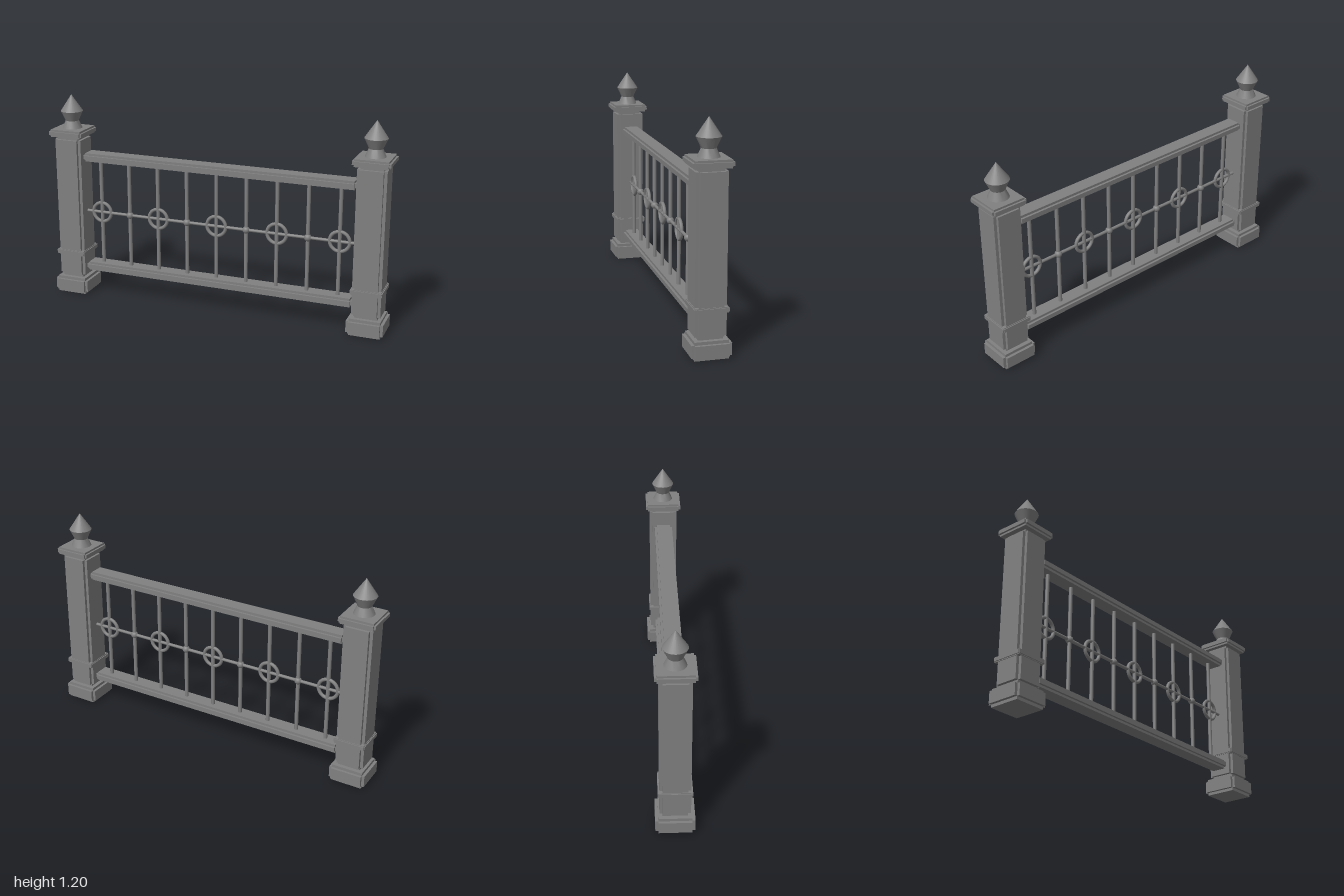
import * as THREE from 'three';
import { toCreasedNormals } from 'three/addons/utils/BufferGeometryUtils.js';

export function createModel() {
  const fence = new THREE.Group();
  fence.name = 'fencePanel';
  const iron = new THREE.MeshStandardMaterial({ color: 0x808080 });
  iron.name = 'grey iron';

  function add(parent, name, geometry, x = 0, y = 0, z = 0) {
    const mesh = new THREE.Mesh(geometry, iron);
    mesh.name = name;
    mesh.position.set(x, y, z);
    parent.add(mesh);
    return mesh;
  }

  // Block with stepped, notched edges: three crossed boxes, each full size along one face pair
  function steppedBlock(parent, name, w, y0, y1, d, step) {
    const block = new THREE.Group();
    block.name = name;
    block.position.y = (y0 + y1) / 2;
    const h = y1 - y0, s = step * 2;
    add(block, name + 'Sides', new THREE.BoxGeometry(w, h - s, d - s));
    add(block, name + 'Ends', new THREE.BoxGeometry(w - s, h, d - s));
    add(block, name + 'Faces', new THREE.BoxGeometry(w - s, h - s, d));
    parent.add(block);
  }

  // Posts with base, collar, cap and turned finial
  const finialProfile = [[0, 1], [0.057, 1], [0.038, 1.044], [0.064, 1.1], [0, 1.196]]
    .map(([r, y]) => new THREE.Vector2(r, y));
  const finial = toCreasedNormals(new THREE.LatheGeometry(finialProfile, 24), 0.5);
  for (const side of [-1, 1]) {
    const post = new THREE.Group();
    post.name = side < 0 ? 'rightPost' : 'leftPost';
    post.position.x = side * 0.896;
    steppedBlock(post, 'base', 0.208, 0, 0.098, 0.208, 0.016);
    steppedBlock(post, 'shaft', 0.163, 0.098, 0.957, 0.163, 0.017);
    steppedBlock(post, 'collar', 0.18, 0.238, 0.268, 0.18, 0.005);
    steppedBlock(post, 'cap', 0.208, 0.957, 1.0, 0.208, 0.011);
    add(post, 'finial', finial);
    fence.add(post);
  }

  // Horizontal rails
  steppedBlock(fence, 'topRail', 1.624, 0.815, 0.864, 0.106, 0.013);
  steppedBlock(fence, 'bottomRail', 1.624, 0.142, 0.193, 0.106, 0.013);
  const midY = 0.503;
  const rod = new THREE.CylinderGeometry(0.009, 0.009, 1.63, 12);
  add(fence, 'middleRod', rod, 0, midY).rotation.z = Math.PI / 2;

  // Balusters, alternating rings and balls on the middle rod
  const bar = new THREE.CylinderGeometry(0.011, 0.011, 0.65, 12);
  const ring = new THREE.TorusGeometry(0.057, 0.01, 10, 32);
  const ball = new THREE.SphereGeometry(0.021, 16, 12);
  for (let i = -4; i <= 4; i++) {
    const x = i * 0.18;
    add(fence, 'baluster', bar, x, midY);
    if (i % 2 === 0) add(fence, 'ring', ring, x, midY);
    else add(fence, 'ball', ball, x, midY);
  }
  return fence;
}
